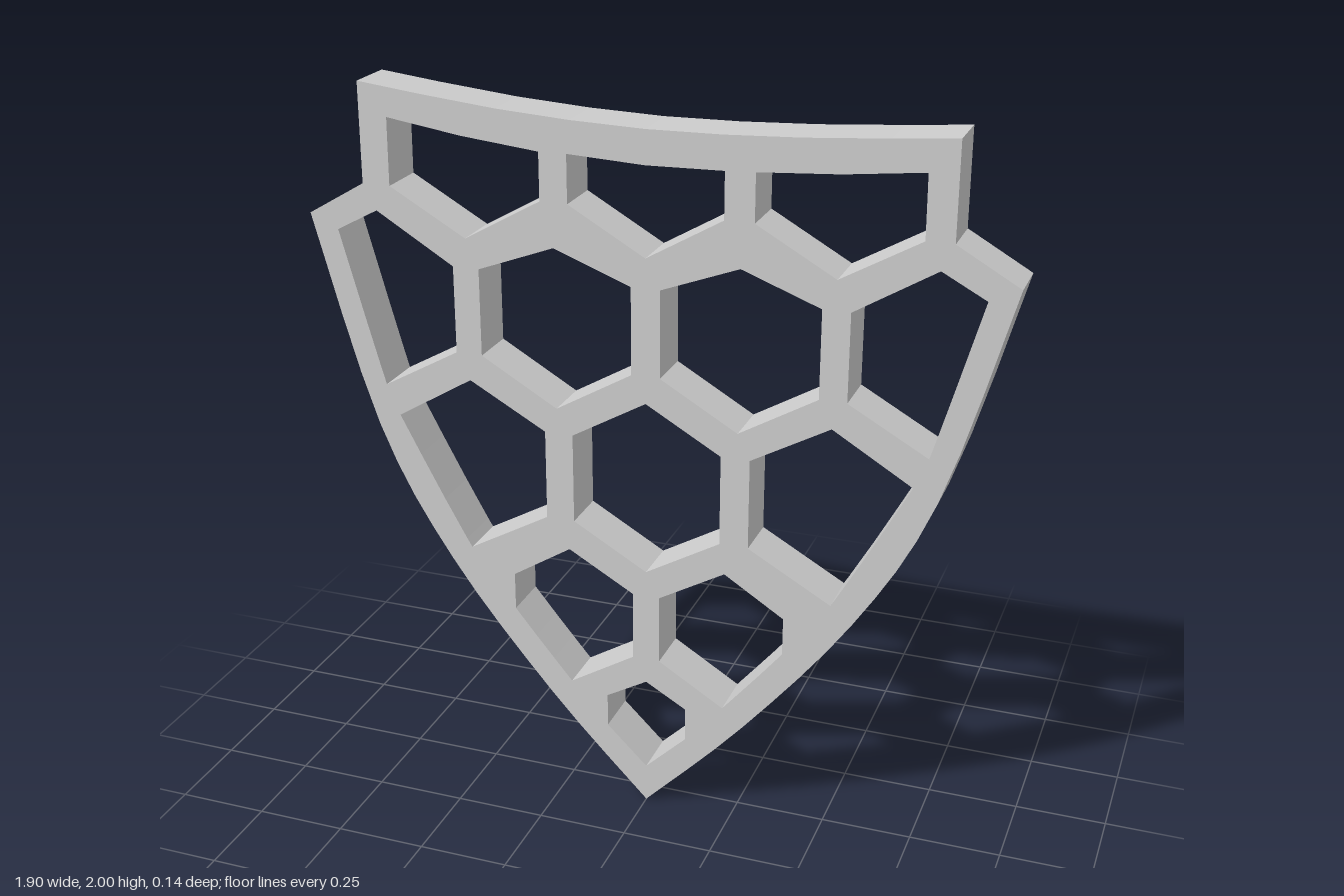
import * as THREE from 'three';

const DEPTH = 0.14;
const spline = (pts) => new THREE.SplineCurve(pts.map(([x, y]) => new THREE.Vector2(x, y)));
const toArrays = (curve, n) => curve.getPoints(n).map((p) => [p.x, p.y]);
const flip = (pts) => pts.map(([x, y]) => [-x, y]);

// Outer and inner edges of the curved side rim (right half, bottom to top)
const outerSide = toArrays(spline([
  [0, 0], [0.281, 0.295], [0.576, 0.67], [0.78, 1.05], [0.95, 1.635],
]), 16);
const innerSide = toArrays(spline([
  [0, 0.11], [0.115, 0.222], [0.222, 0.344], [0.388, 0.545], [0.515, 0.715],
  [0.716, 1.085], [0.752, 1.17], [0.87, 1.597],
]), 24);

// Points of the inner rim strictly between two heights
const rim = (y0, y1) => innerSide.filter(([, y]) => y > y0 + 0.02 && y < y1 - 0.02);

// Pointy-topped hexagon with straight vertical sides
const hexagon = (cx, halfWidth, top, shoulder, hip, bottom) => [
  [cx, top], [cx + halfWidth, shoulder], [cx + halfWidth, hip],
  [cx, bottom], [cx - halfWidth, hip], [cx - halfWidth, shoulder],
];

// Cells that occur once, on the centre line
const centreCells = [
  hexagon(0, 0.207, 1.215, 1.096, 0.844, 0.725),
  [[0, 0.11], [0.115, 0.222], [0.115, 0.318], [0, 0.384], [-0.115, 0.318], [-0.115, 0.222]],
  [[-0.21, 1.86], [0, 1.85], [0.207, 1.855], [0.207, 1.73], [0, 1.61], [-0.21, 1.73]],
];

// Cells that are mirrored left and right
const pairedCells = [
  hexagon(0.2515, 0.212, 1.61, 1.53, 1.29, 1.167),
  // lower cell cut by the rim
  [[0.222, 0.344], ...rim(0.344, 0.545), [0.388, 0.545], [0.388, 0.652],
    [0.222, 0.757], [0.038, 0.652], [0.038, 0.456]],
  // middle cell cut by the rim
  [[0.515, 0.715], ...rim(0.715, 1.085), [0.716, 1.085], [0.5, 1.215],
    [0.286, 1.096], [0.286, 0.844]],
  // upper cell cut by the rim
  [[0.752, 1.17], ...rim(1.17, 1.597), [0.87, 1.597], [0.752, 1.66],
    [0.537, 1.53], [0.537, 1.29]],
];

// Cells in the top corners, slightly taller on the model's right
const cornerCell = (topY) => [
  [0.708, topY], [0.5, (topY + 1.86) / 2 - 0.005], [0.286, 1.859],
  [0.286, 1.73], [0.499, 1.61], [0.71, 1.73],
];

export function createModel() {
  const group = new THREE.Group();
  group.name = 'honeycombShield';

  // Outline: right rim, shoulder notch, dished top edge, left notch and rim
  const topEdge = toArrays(spline([
    [0.782, 1.985], [0.4, 1.954], [0, 1.941], [-0.4, 1.959], [-0.787, 2.0],
  ]), 8);
  const outline = [
    ...outerSide, [0.783, 1.73], ...topEdge, [-0.788, 1.73],
    ...flip(outerSide).reverse().slice(0, -1),
  ];
  const shape = new THREE.Shape(outline.map(([x, y]) => new THREE.Vector2(x, y)));

  // Openings between the honeycomb struts
  const cells = [
    ...centreCells, ...pairedCells, ...pairedCells.map(flip),
    cornerCell(1.897), flip(cornerCell(1.912)),
  ];
  for (const cell of cells) {
    shape.holes.push(new THREE.Path(cell.map(([x, y]) => new THREE.Vector2(x, y))));
  }

  const geometry = new THREE.ExtrudeGeometry(shape, { depth: DEPTH, bevelEnabled: false });
  geometry.translate(0, 0, -DEPTH / 2);
  const lattice = new THREE.Mesh(
    geometry,
    new THREE.MeshStandardMaterial({ color: 0xcccccc, flatShading: true }),
  );
  lattice.name = 'shieldLattice';
  group.add(lattice);
  return group;
}
